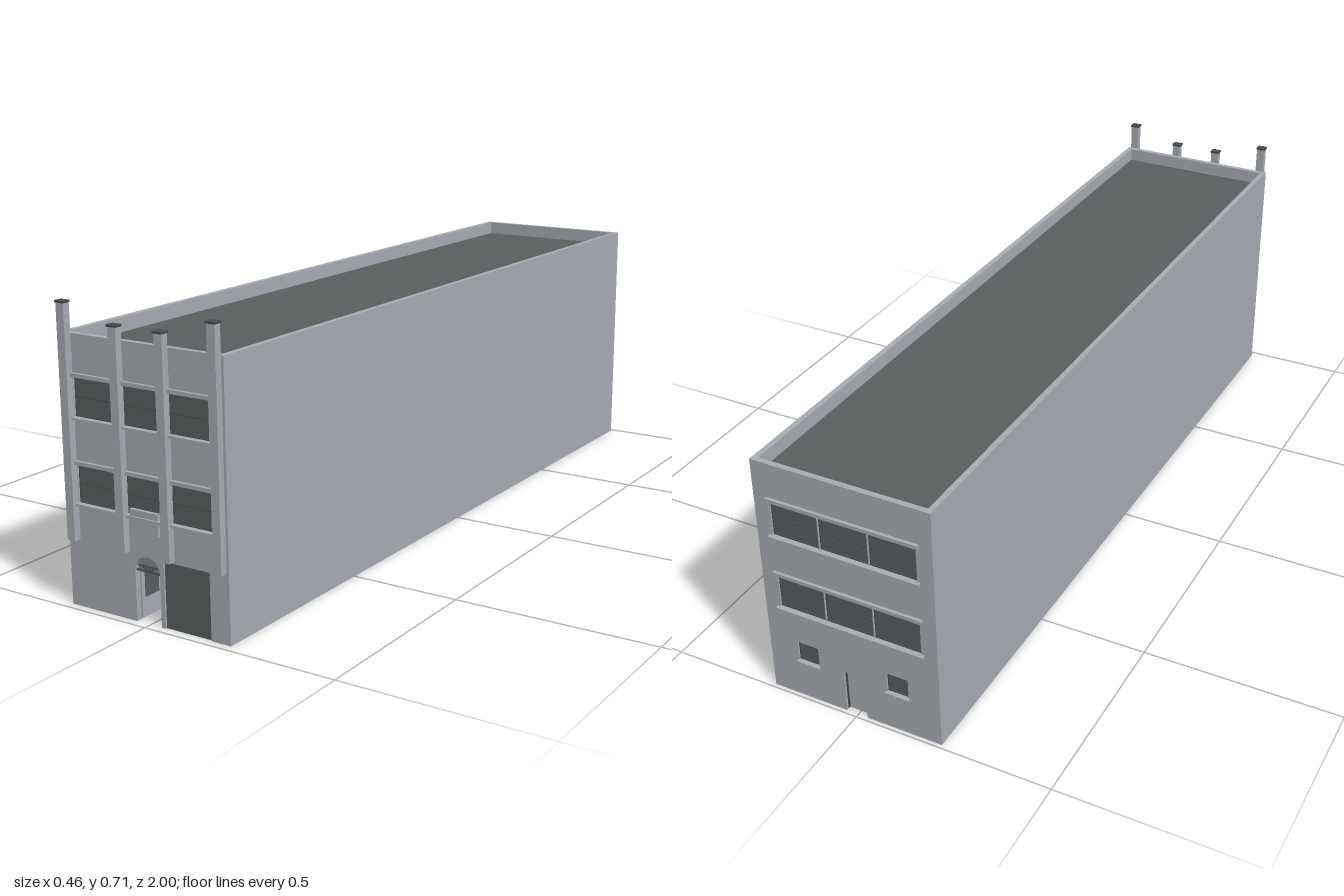
import * as THREE from 'three';

const mat = (name, color) => {
  const m = new THREE.MeshStandardMaterial({ color });
  m.name = name;
  return m;
};

export function createModel() {
  const wall = mat('wall grey', 0xa8adb4);
  const dark = mat('dark panel', 0x5a5e60);
  const frame = mat('frame charcoal', 0x484c4e);
  const glass = mat('fanlight grey', 0x85898d);

  const model = new THREE.Group();
  model.name = 'building';
  const H = 0.635, T = 0.014, L = -0.229, R = 0.221;

  // Box given by its limits on each axis
  function box(parent, name, m, x0, x1, y0, y1, z0, z1) {
    const g = new THREE.BoxGeometry(x1 - x0, y1 - y0, z1 - z0);
    g.translate((x0 + x1) / 2, (y0 + y1) / 2, (z0 + z1) / 2);
    const mesh = new THREE.Mesh(g, m);
    mesh.name = name;
    parent.add(mesh);
    return mesh;
  }

  // End wall with door notches in its foot and window holes
  function facade(parent, name, doors, windows) {
    const s = new THREE.Shape();
    s.moveTo(L, 0);
    for (const d of doors) {
      s.lineTo(d.x0, 0);
      s.lineTo(d.x0, d.top);
      if (d.arch) s.absarc((d.x0 + d.x1) / 2, d.top, (d.x1 - d.x0) / 2, Math.PI, 0, true);
      else s.lineTo(d.x1, d.top);
      s.lineTo(d.x1, 0);
    }
    s.lineTo(R, 0);
    s.lineTo(R, H);
    s.lineTo(L, H);
    s.closePath();
    for (const [x0, x1, y0, y1] of windows) {
      const h = new THREE.Path();
      h.moveTo(x0, y0);
      h.lineTo(x0, y1);
      h.lineTo(x1, y1);
      h.lineTo(x1, y0);
      h.closePath();
      s.holes.push(h);
    }
    const g = new THREE.ExtrudeGeometry(s, { depth: T, bevelEnabled: false, curveSegments: 20 });
    g.translate(0, 0, -T);
    const mesh = new THREE.Mesh(g, wall);
    mesh.name = name;
    parent.add(mesh);
  }

  // Recessed pane with a thin frame and middle rail
  function windowUnit(parent, [x0, x1, y0, y1]) {
    const w = new THREE.Group();
    w.name = 'window';
    parent.add(w);
    const b = 0.002, mid = (y0 + y1) / 2;
    box(w, 'pane', dark, x0, x1, y0, y1, -0.011, -0.007);
    for (const y of [y0, mid - b / 2, y1 - b]) box(w, 'rail', frame, x0, x1, y, y + b, -0.007, -0.004);
    for (const x of [x0, x1 - b]) box(w, 'stile', frame, x, x + b, y0, y1, -0.007, -0.004);
  }

  const floors = [[0.248, 0.338], [0.447, 0.538]];
  const rows = cols => floors.flatMap(([y0, y1]) => cols.map(([a, b]) => [a, b, y0, y1]));
  function ledges(parent, x0, x1) {
    for (const [y0, y1] of floors) {
      box(parent, 'sill', wall, x0, x1, y0 - 0.006, y0, -0.002, 0.01);
      box(parent, 'lintel', wall, x0, x1, y1, y1 + 0.009, -0.002, 0.008);
    }
  }

  // Front
  const front = new THREE.Group();
  front.name = 'front';
  front.position.set(0.004, 0, 0.98);
  model.add(front);
  const fw = rows([[-0.195, -0.078], [-0.056, 0.06], [0.07, 0.188]]);
  facade(front, 'frontWall', [
    { x0: -0.038, x1: 0.032, top: 0.121, arch: true },
    { x0: 0.043, x1: 0.169, top: 0.156 },
  ], fw);
  fw.forEach(w => windowUnit(front, w));
  ledges(front, -0.197, 0.193);

  // Tall pilasters with caps
  for (const [x, top] of [[-0.207, 0.703], [-0.062, 0.666], [0.064, 0.666], [0.204, 0.703]]) {
    box(front, 'pilaster', wall, x - 0.011, x + 0.011, 0.162, top, 0, 0.018);
    box(front, 'pilasterCap', frame, x - 0.013, x + 0.013, top, top + 0.005, -0.001, 0.02);
  }
  box(front, 'blankPanel', wall, -0.043, 0.036, 0.212, 0.263, -0.003, 0.006);

  // Roller door
  box(front, 'garageDoor', dark, 0.043, 0.169, 0, 0.156, -0.011, -0.004);

  // Fanlight over the entrance
  const cx = -0.003;
  const fan = new THREE.Mesh(new THREE.CircleGeometry(0.0345, 24, 0, Math.PI), glass);
  fan.material.side = THREE.DoubleSide;
  fan.position.set(cx, 0.121, -0.01);
  fan.name = 'fanlight';
  front.add(fan);
  box(front, 'fanlightBar', frame, -0.038, 0.032, 0.119, 0.122, -0.01, -0.004);
  box(front, 'fanlightBar', frame, cx - 0.032, cx + 0.032, 0.131, 0.133, -0.009, -0.005);
  for (let i = -2; i <= 2; i++) {
    const dx = i * 0.012, len = Math.hypot(dx, 0.011);
    const ray = new THREE.Mesh(new THREE.BoxGeometry(0.0015, len, 0.003), frame);
    ray.position.set(cx + dx / 2, 0.1265, -0.007);
    ray.rotation.z = -Math.atan2(dx, 0.011);
    ray.name = 'fanlightRay';
    front.add(ray);
  }

  // Entrance leaf standing open inwards
  box(front, 'entranceDoor', wall, -0.038, -0.034, 0.003, 0.119, -0.08, -T);
  box(front, 'entranceDoorGlass', dark, -0.0345, -0.0325, 0.05, 0.112, -0.07, -0.025);

  // Back, turned to face the other way
  const back = new THREE.Group();
  back.name = 'back';
  back.position.set(-0.004, 0, -0.99);
  back.rotation.y = Math.PI;
  model.add(back);
  const small = [[-0.152, -0.097, 0.105, 0.157], [0.085, 0.14, 0.105, 0.157]];
  const bw = rows([[-0.188, -0.067], [-0.065, 0.059], [0.061, 0.18]]).concat(small);
  facade(back, 'backWall', [{ x0: -0.031, x1: 0.025, top: 0.117 }], bw);
  bw.forEach(w => windowUnit(back, w));
  ledges(back, -0.196, 0.188);
  for (const [x0, x1] of small) box(back, 'smallSill', wall, x0 - 0.003, x1 + 0.003, 0.1, 0.105, -0.002, 0.008);
  box(back, 'backDoor', wall, -0.031, 0.025, 0.003, 0.117, -T, -0.01);
  box(back, 'backDoorFrame', frame, -0.031, -0.028, 0.003, 0.117, -0.01, -0.006);

  // Long side walls and the sunken roof; the foot is open
  for (const s of [-1, 1]) {
    const a = s * 0.225, b = s * (0.225 - T);
    box(model, 'sideWall', wall, Math.min(a, b), Math.max(a, b), 0, H, -0.99 + T, 0.98 - T);
  }
  box(model, 'roof', dark, -0.225 + T, 0.225 - T, 0.588, 0.6, -0.99 + T, 0.98 - T);

  // The plan is very slightly skewed along its length
  const shear = new THREE.Matrix4().set(1, 0, -0.004, 0, 0, 1, 0, 0, 0, 0, 1, 0, 0, 0, 0, 1);
  model.updateMatrixWorld(true);
  model.traverse(o => {
    if (!o.isMesh) return;
    const inv = o.matrixWorld.clone().invert();
    o.geometry.applyMatrix4(inv.multiply(shear).multiply(o.matrixWorld));
  });
  return model;
}
